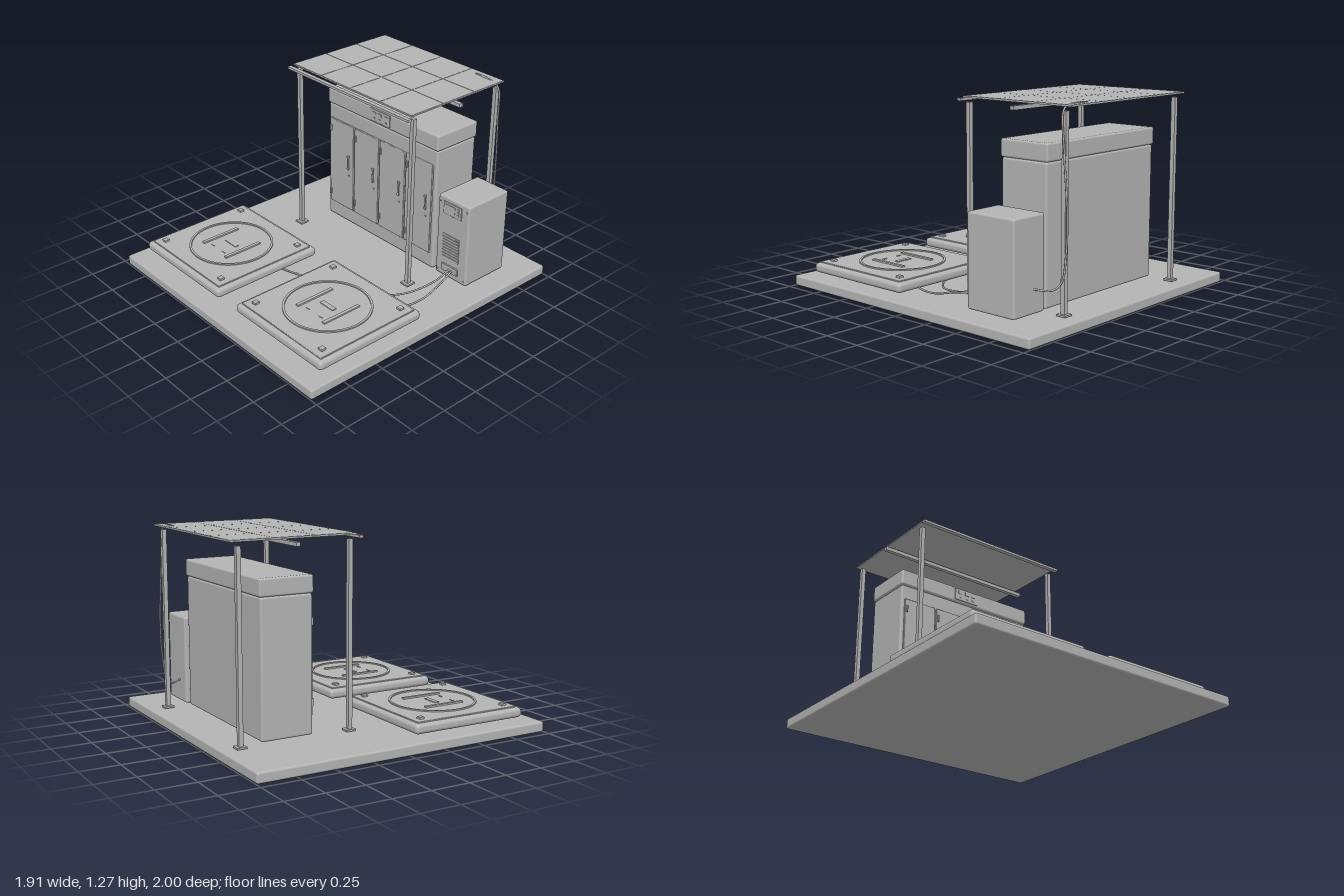
import * as THREE from 'three';
import { RoundedBoxGeometry } from 'three/addons/geometries/RoundedBoxGeometry.js';

export function createModel() {
  const model = new THREE.Group();
  model.name = 'droneChargingStation';
  const grey = new THREE.MeshStandardMaterial({ color: 0xb4b4b4 });
  grey.name = 'plain grey';

  const add = (parent, name, geometry) => {
    const mesh = new THREE.Mesh(geometry, grey);
    mesh.name = name;
    parent.add(mesh);
    return mesh;
  };
  // Box given by its limits on each axis; r rounds the edges
  const box = (parent, name, [x0, x1], [y0, y1], [z0, z1], r = 0) => {
    const size = [x1 - x0, y1 - y0, z1 - z0];
    const g = r ? new RoundedBoxGeometry(...size, 3, r) : new THREE.BoxGeometry(...size);
    const mesh = add(parent, name, g);
    mesh.position.set((x0 + x1) / 2, (y0 + y1) / 2, (z0 + z1) / 2);
    return mesh;
  };
  const around = (c, half) => [c - half, c + half];
  const cable = (name, points, r = 0.006) => {
    const curve = new THREE.CatmullRomCurve3(points.map(p => new THREE.Vector3(...p)));
    add(model, name, new THREE.TubeGeometry(curve, 48, r, 8));
  };
  const group = (name) => {
    const g = new THREE.Group();
    g.name = name;
    model.add(g);
    return g;
  };

  // Ground slab
  box(model, 'baseSlab', [-0.955, 0.955], [0, 0.068], [-1, 1], 0.014);

  // Two landing pads
  for (const side of [-1, 1]) {
    const pad = group(side < 0 ? 'rightLandingPad' : 'leftLandingPad');
    pad.position.set(side * 0.49, 0, 0.48);
    box(pad, 'padBody', [-0.4, 0.4], [0.095, 0.158], [-0.4, 0.4], 0.025);
    box(pad, 'padPlate', [-0.37, 0.37], [0.15, 0.166], [-0.37, 0.37], 0.004);
    // Raised circle
    const ring = new THREE.Shape().absarc(0, 0, 0.276, 0, Math.PI * 2);
    ring.holes.push(new THREE.Path().absarc(0, 0, 0.262, 0, Math.PI * 2, true));
    const ringMesh = add(pad, 'padRing', new THREE.ExtrudeGeometry(ring,
      { depth: 0.008, bevelEnabled: false, curveSegments: 48 }));
    ringMesh.rotation.x = -Math.PI / 2;
    ringMesh.position.y = 0.166;
    // Landing mark
    for (const s of [-1, 1]) {
      box(pad, 'markBar', around(s * 0.123, 0.011), [0.164, 0.176], [-0.14, 0.14]);
      box(pad, 'markTab', around(s * 0.06, 0.015), [0.164, 0.17], [0.102, 0.11]);
    }
    box(pad, 'markCrossbar', [-0.058, 0.058], [0.164, 0.171], [-0.02, 0.012]);
    // Corner lights
    for (const x of [-0.31, 0.31]) for (const z of [-0.31, 0.31])
      box(pad, 'cornerLight', around(x, 0.017), [0.164, 0.179], around(z, 0.017), 0.003);
  }

  // Battery cabinet with a cap
  const cabinet = group('cabinet');
  box(cabinet, 'cabinetBody', [-0.513, 0.513], [0.08, 0.928], [-0.742, -0.402], 0.014);
  box(cabinet, 'cabinetCap', [-0.518, 0.518], [0.928, 1.038], [-0.75, -0.395], 0.014);
  box(cabinet, 'controlPanel', [-0.094, 0.09], [0.944, 1.028], [-0.397, -0.389], 0.002);
  for (let i = 0; i < 3; i++) {
    box(cabinet, 'controlPanelKey', around(-0.055 + i * 0.054, 0.015), [0.99, 1.012], [-0.39, -0.386]);
    box(cabinet, 'controlPanelLight', around(-0.055 + i * 0.054, 0.008), [0.962, 0.972], [-0.39, -0.386]);
  }
  for (let i = 0; i < 4; i++) {
    const x = -0.49 + i * 0.246;
    box(cabinet, 'door', [x, x + 0.236], [0.19, 0.826], [-0.405, -0.389], 0.005);
    for (const y of [0.755, 0.268]) {
      box(cabinet, 'hingePlate', [x + 0.004, x + 0.02], around(y, 0.021), [-0.392, -0.384]);
      const pin = add(cabinet, 'hingePin', new THREE.CylinderGeometry(0.005, 0.005, 0.046, 10));
      pin.position.set(x + 0.013, y, -0.382);
    }
    box(cabinet, 'doorHandle', around(x + 0.196, 0.006), [0.5, 0.602], [-0.382, -0.375], 0.002);
    for (const y of [0.508, 0.594])
      box(cabinet, 'handleMount', around(x + 0.19, 0.008), around(y, 0.006), [-0.392, -0.378]);
    const lock = add(cabinet, 'doorLock', new THREE.CylinderGeometry(0.006, 0.006, 0.008, 12));
    lock.rotation.x = Math.PI / 2;
    lock.position.set(x + 0.195, 0.45, -0.387);
  }

  // Inverter box beside the cabinet
  const inverter = group('inverter');
  box(inverter, 'inverterBody', [0.54, 0.804], [0.08, 0.652], [-0.756, -0.4], 0.014);
  box(inverter, 'inverterScreenFrame', [0.59, 0.742], [0.535, 0.622], [-0.403, -0.394], 0.003);
  box(inverter, 'inverterScreen', [0.604, 0.69], [0.56, 0.607], [-0.395, -0.391]);
  for (let i = 0; i < 3; i++)
    box(inverter, 'inverterKey', around(0.716, 0.008), around(0.562 + i * 0.02, 0.006), [-0.395, -0.39]);
  for (let i = 0; i < 9; i++)
    box(inverter, 'ventSlat', [0.594, 0.736], around(0.225 + i * 0.02, 0.006), [-0.403, -0.394]);
  box(inverter, 'cableSocket', [0.6, 0.735], [0.125, 0.175], [-0.405, -0.389], 0.004);
  for (const x of [0.56, 0.785]) for (const y of [0.11, 0.61]) {
    const screw = add(inverter, 'screw', new THREE.CylinderGeometry(0.005, 0.005, 0.006, 10));
    screw.rotation.x = Math.PI / 2;
    screw.position.set(x, y, -0.398);
  }

  // Canopy posts with foot plates
  const canopy = group('solarCanopy');
  for (const x of [-0.528, 0.528]) for (const z of [-0.161, -0.888]) {
    box(canopy, 'post', around(x, 0.014), [0.075, 1.232], around(z, 0.014));
    box(canopy, 'postFoot', around(x, 0.03), [0.075, 0.086], around(z, 0.032));
  }
  // Cross rails and panel
  box(canopy, 'frontRail', [-0.562, 0.556], [1.236, 1.252], [-0.115, -0.086]);
  box(canopy, 'middleRail', [-0.575, 0.568], [1.212, 1.236], [-0.543, -0.515]);
  box(canopy, 'solarPanel', [-0.55, 0.545], [1.256, 1.265], [-0.944, -0.125]);
  // Panel cells
  const cw = 1.095 / 4, cd = 0.819 / 3;
  for (let i = 0; i < 4; i++) for (let j = 0; j < 3; j++) {
    const x = -0.55 + i * cw, z = -0.944 + j * cd;
    box(canopy, 'solarCell', [x + 0.002, x + cw - 0.002], [1.264, 1.267], [z + 0.002, z + cd - 0.002]);
  }
  box(canopy, 'panelConnector', around(0.395, 0.045), [1.265, 1.273], around(-0.895, 0.007), 0.003);

  // Cables
  cable('panelCable', [
    [0.4, 1.268, -0.89], [0.5, 1.262, -0.888], [0.548, 1.235, -0.888], [0.552, 1.0, -0.9],
    [0.546, 0.65, -0.92], [0.545, 0.42, -0.912], [0.55, 0.27, -0.886], [0.575, 0.222, -0.84], [0.635, 0.225, -0.75],
  ]);
  cable('leftPadCable', [
    [0.69, 0.15, -0.395], [0.735, 0.13, -0.22], [0.742, 0.1, -0.08], [0.715, 0.095, 0.08], [0.69, 0.115, 0.16],
  ]);
  cable('rightPadCable', [
    [0.665, 0.145, -0.395], [0.678, 0.125, -0.25], [0.63, 0.1, -0.05], [0.5, 0.085, 0.1],
    [0.3, 0.08, 0.205], [0.09, 0.08, 0.275], [-0.1, 0.083, 0.335], [-0.25, 0.098, 0.39],
  ]);

  return model;
}
